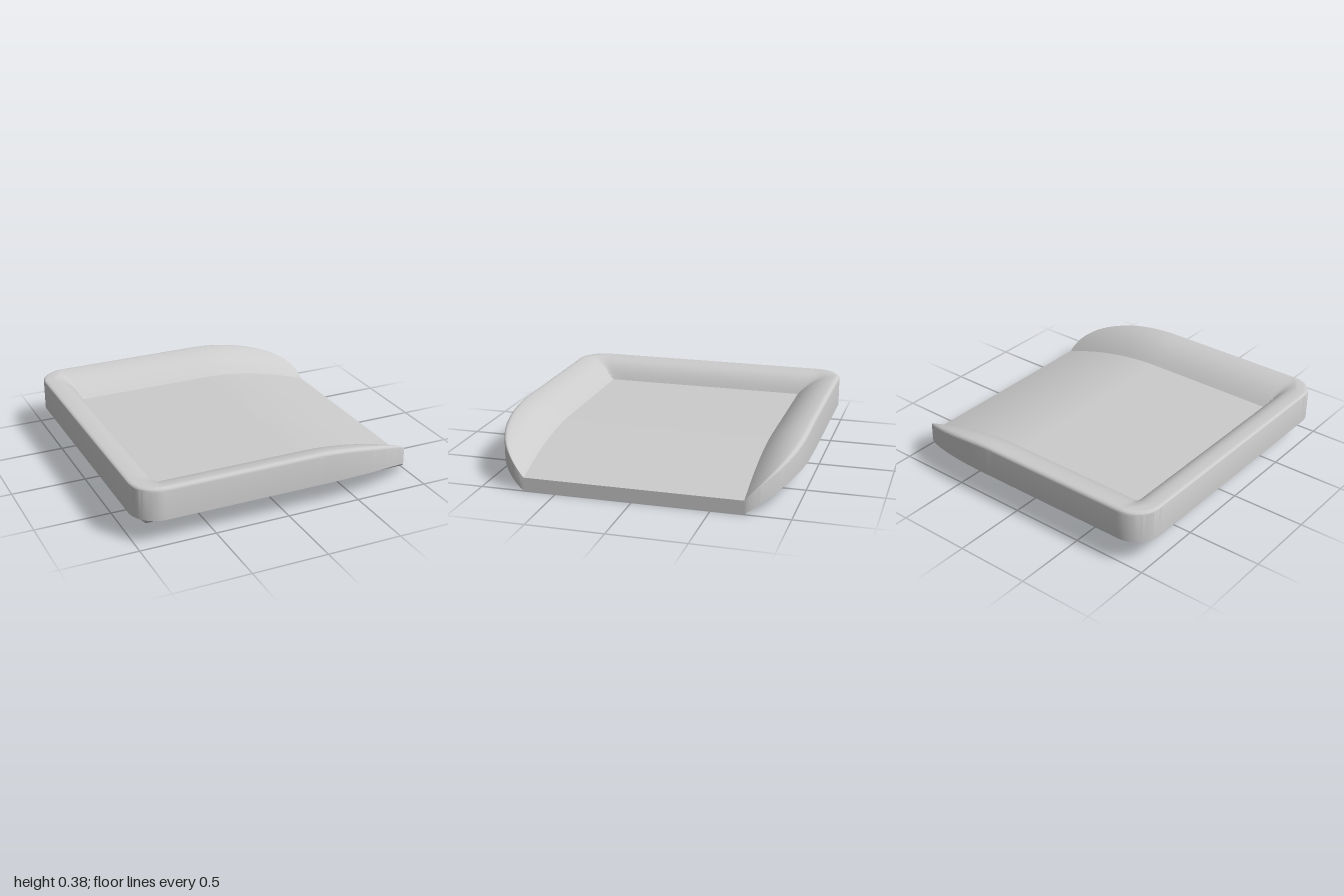
import * as THREE from 'three';
import { toCreasedNormals } from 'three/addons/utils/BufferGeometryUtils.js';

const INNER = 0.71;   // half width of the flat floor
const CORNER = 0.18;  // plan radius of the rear corners
const RIM = 0.14;     // rim height above the floor

// progress along the curved open end, 0 to 1
const endT = (x) => Math.max(0, (x - 0.2) / 0.8);

// half width of the plan outline
function halfWidth(x) {
  const c = CORNER - 1;
  if (x < c) return 1 - CORNER + Math.sqrt(Math.max(0, CORNER ** 2 - (c - x) ** 2));
  return INNER + 0.002 + 0.288 * Math.pow(Math.max(0, 1 - endT(x) ** 3), 0.6);
}

// floor dips toward the open end, with a convex rim on three sides
function topHeight(x, z) {
  const az = Math.abs(z), w = halfWidth(x);
  const floor = 0.09 + 0.155 * (1 - endT(x) ** 1.85);
  const d = Math.max(0, az - INNER) / 0.29;
  const b = Math.max(0, -0.765 - x) / 0.235;
  const side = 1 - (1 - Math.min(1, d)) ** 2.2;
  const back = (1 - (1 - b) ** 3.6) * Math.min(1, b * 14 + 0.3);
  const rise = RIM * Math.min(1, (side ** 8 + back ** 8) ** 0.125);
  // rounded outer edge
  const c = 1 - CORNER;
  const e = x < -c && az > c ? CORNER - Math.hypot(x + c, az - c) : Math.min(1 + x, w - az);
  const r = Math.min(0.03, (w - INNER) * 0.12);
  const k = Math.max(0, r - Math.max(0, e));
  return floor + rise - (r - Math.sqrt(Math.max(0, r * r - k * k))) * 0.8;
}

// flat base with sloping undersides
function bottomHeight(x, z) {
  const d = Math.min(1, Math.max(0, Math.abs(z) - INNER) / 0.29);
  const side = 0.17 * (1 - (1 - d) ** 1.25);
  const back = 0.17 * Math.max(0, -0.85 - x) / 0.15;
  return Math.min(0.17, Math.hypot(side, back));
}

function trayGeometry() {
  // stations along the length, closer together at both ends
  const xs = [];
  for (let i = 0; i < 30; i++) xs.push(-1 + 0.235 * (i / 30) ** 1.6);
  for (let i = 0; i <= 60; i++) xs.push(-0.765 + 1.765 * (1 - (1 - i / 60) ** 1.7));

  // cross positions: outer strip, floor, outer strip
  const OUT = 18, MID = 20, last = 2 * OUT + MID;
  const crossZ = (j, w) => {
    if (j < OUT) return -crossZ(last - j, w);
    if (j <= OUT + MID) return INNER * (2 * (j - OUT) / MID - 1);
    const s = (j - OUT - MID) / OUT;
    return INNER + (w - INNER) * (1 - (1 - s) ** 1.7);
  };

  const pos = [], index = [];
  const n = xs.length, m = last + 1;
  for (const height of [topHeight, bottomHeight]) {
    for (const x of xs) {
      for (let j = 0; j < m; j++) {
        const z = crossZ(j, halfWidth(x));
        pos.push(x, height(x, z), z);
      }
    }
  }
  const quad = (a, b, c, d) => index.push(a, b, c, a, c, d);
  const id = (i, j) => i * m + j;
  const under = n * m;
  for (let i = 0; i < n - 1; i++) {
    for (let j = 0; j < last; j++) {
      const a = id(i, j), b = id(i, j + 1), c = id(i + 1, j + 1), d = id(i + 1, j);
      quad(a, b, c, d);
      quad(under + a, under + d, under + c, under + b);
    }
  }

  // outer wall following the outline
  const loop = [];
  for (let i = 0; i < n - 1; i++) loop.push(id(i, last));
  for (let j = last; j > 0; j--) loop.push(id(n - 1, j));
  for (let i = n - 1; i > 0; i--) loop.push(id(i, 0));
  for (let j = 0; j < last; j++) loop.push(id(0, j));
  loop.forEach((p, k) => {
    const q = loop[(k + 1) % loop.length];
    quad(under + p, under + q, q, p);
  });

  const geo = new THREE.BufferGeometry();
  geo.setAttribute('position', new THREE.Float32BufferAttribute(pos, 3));
  geo.setIndex(index);
  return toCreasedNormals(geo, 0.55);
}

export function createModel() {
  const group = new THREE.Group();
  group.name = 'scoopTray';
  const tray = new THREE.Mesh(trayGeometry(), new THREE.MeshStandardMaterial({ color: 0xcccccc }));
  tray.name = 'trayBody';
  group.add(tray);
  return group;
}
